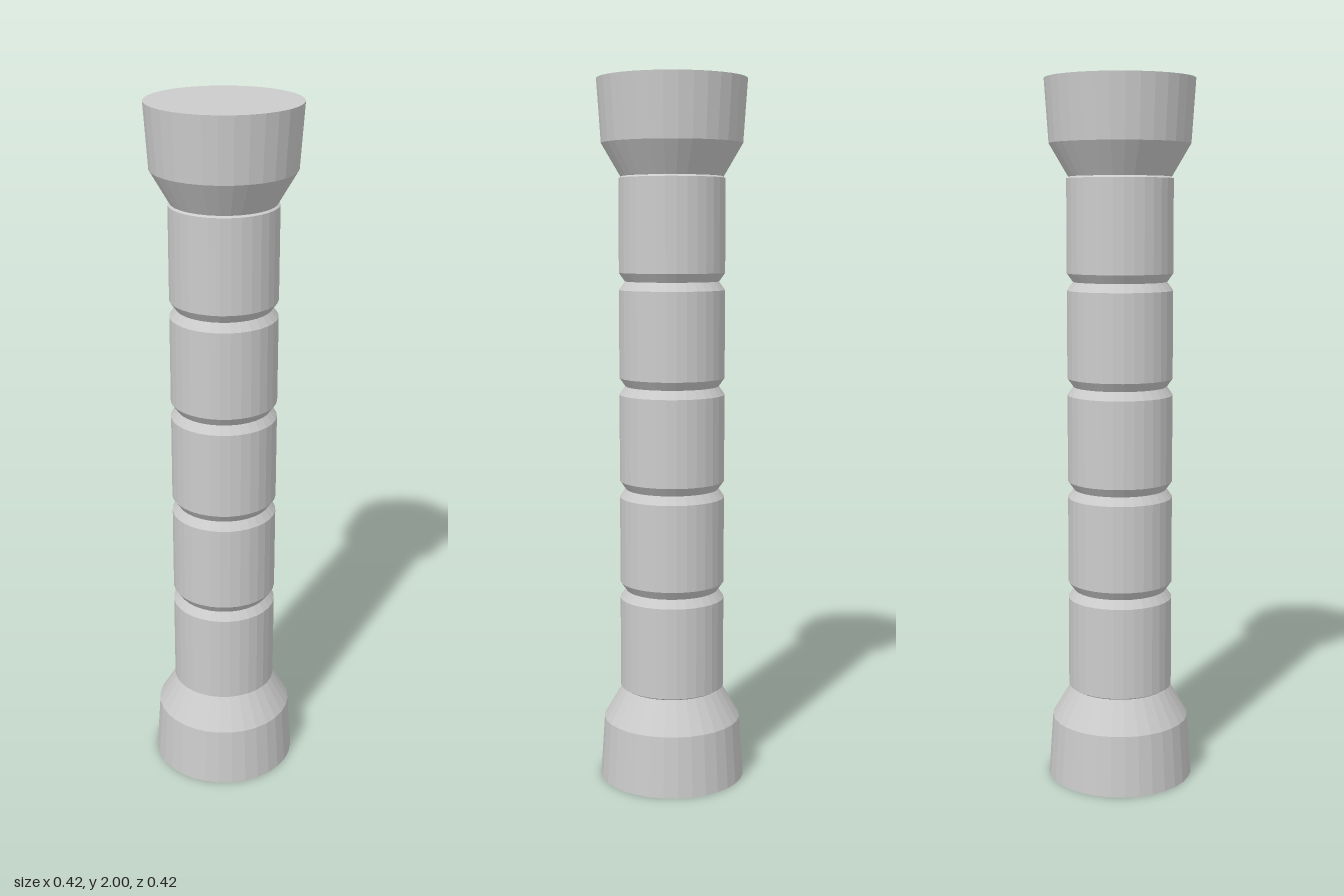
import * as THREE from 'three';

const SIDES = 32;
const material = new THREE.MeshStandardMaterial({ color: 0xcccccc, flatShading: true });

// Turned part from [radius, height] pairs, listed bottom to top
function turned(name, profile) {
  const points = profile.map(([r, y]) => new THREE.Vector2(r, y));
  const mesh = new THREE.Mesh(new THREE.LatheGeometry(points, SIDES), material);
  mesh.name = name;
  return mesh;
}

export function createModel() {
  const group = new THREE.Group();
  group.name = 'column';

  // Flared end blocks, the upper one a flipped copy of the lower
  const endProfile = [[0, 0], [0.21, 0], [0.198, 0.175], [0.145, 0.265], [0, 0.265]];
  const base = turned('base', endProfile);
  const capital = turned('capital', endProfile);
  capital.rotation.x = Math.PI;
  capital.position.y = 2;
  group.add(base, capital);

  // Shaft of five stacked drums with bevelled rims forming the grooves
  const bottom = 0.26, drums = 5, step = 1.48 / drums, bevel = 0.024;
  const rim = 0.133, radius = 0.15;
  for (let i = 0; i < drums; i++) {
    const y0 = bottom + i * step, y1 = y0 + step;
    const drum = turned('shaftDrum' + (i + 1), [
      [0, y0], [rim, y0],
      [radius, y0 + (i === 0 ? 0.01 : bevel)],
      [radius, y1 - (i === drums - 1 ? 0.01 : bevel)],
      [rim, y1], [0, y1],
    ]);
    group.add(drum);
  }
  return group;
}
